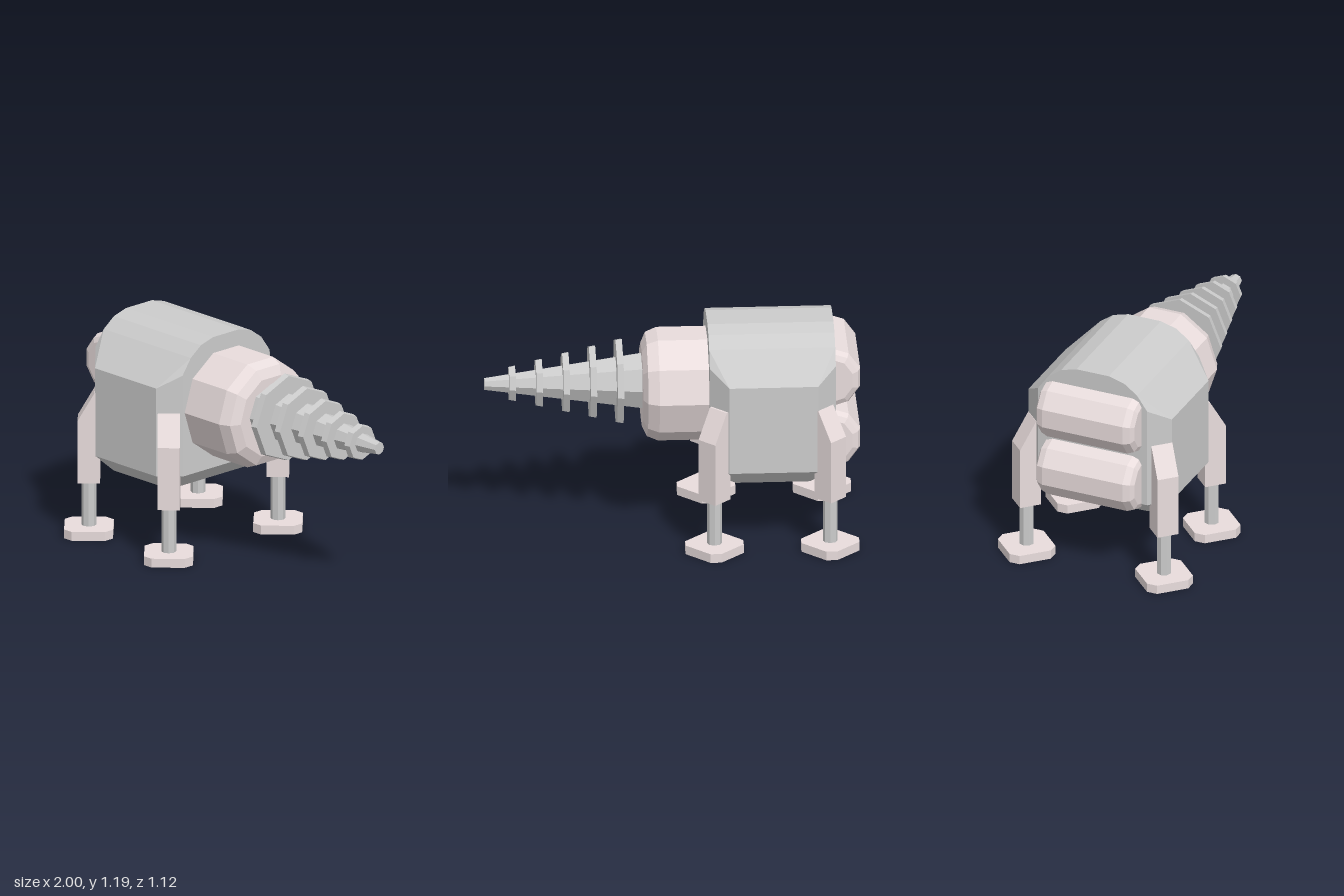
import * as THREE from 'three';
import { ConvexGeometry } from 'three/addons/geometries/ConvexGeometry.js';

const grey = new THREE.MeshStandardMaterial({ color: 0xcccccc, flatShading: true });
const pale = new THREE.MeshStandardMaterial({ color: 0xe8dcdc, flatShading: true });

function add(parent, name, geometry, material, x = 0, y = 0, z = 0) {
  const mesh = new THREE.Mesh(geometry, material);
  mesh.name = name;
  mesh.position.set(x, y, z);
  parent.add(mesh);
  return mesh;
}

// Rectangle with cut corners, as [x, z] pairs
function cutRect(hx, hz, c) {
  return [[hx, hz - c], [hx - c, hz], [c - hx, hz], [-hx, hz - c],
    [-hx, c - hz], [c - hx, -hz], [hx - c, -hz], [hx, c - hz]];
}

function lathe(profile, sides) {
  return new THREE.LatheGeometry(profile.map(([r, h]) => new THREE.Vector2(r, h)), sides);
}

// Hull: chamfered belly, straight walls, faceted barrel roof
function hullGeometry() {
  const points = [];
  const ring = (hx, hz, c, y) =>
    cutRect(hx, hz, c).forEach(([x, z]) => points.push(new THREE.Vector3(x, y, z)));
  ring(0.2375, 0.32, 0.04, 0.36);
  ring(0.3375, 0.42, 0.1, 0.455);
  for (const sx of [-1, 1]) for (const sz of [-1, 1]) {
    points.push(new THREE.Vector3(sx * 0.2375, 0.95, sz * 0.42));
    for (const [z, y] of [[0.32, 1.025], [0.26, 1.11], [0.185, 1.165], [0.095, 1.19]]) {
      points.push(new THREE.Vector3(sx * 0.3375, y, sz * z));
    }
  }
  return new ConvexGeometry(points);
}

// Leg built with its local +x pointing outward
function makeLeg() {
  const leg = new THREE.Group();

  const thigh = new THREE.Shape([[-0.06, 0.3], [0.06, 0.3], [0.06, 0.65], [-0.032, 0.81], [-0.06, 0.81]]
    .map(([u, y]) => new THREE.Vector2(u, y)));
  const thighGeo = new THREE.ExtrudeGeometry(thigh, { depth: 0.12, bevelEnabled: false });
  add(leg, 'upperLeg', thighGeo.translate(0, 0, -0.06), pale);

  add(leg, 'shin', new THREE.CylinderGeometry(0.04, 0.04, 0.27, 8), grey, 0, 0.175, 0);

  const foot = new THREE.Shape(cutRect(0.131, 0.131, 0.042).map(([x, z]) => new THREE.Vector2(x, z)));
  const footGeo = new THREE.ExtrudeGeometry(foot, { depth: 0.05, bevelEnabled: false });
  add(leg, 'foot', footGeo.rotateX(-Math.PI / 2), pale);
  return leg;
}

export function createModel() {
  const model = new THREE.Group();
  model.name = 'drillWalker';

  add(model, 'body', hullGeometry(), grey, -0.5275, 0, 0);

  // Drill housing
  const housing = lathe([[0, -0.25], [0.305, -0.25], [0.305, 0.075], [0.28, 0.135], [0.225, 0.16], [0, 0.16]], 10);
  add(model, 'drillHousing', housing.rotateZ(-Math.PI / 2), pale, 0, 0.81, 0);

  // Drill: tapering core with five cutting rings
  const drill = new THREE.Group();
  drill.name = 'drill';
  drill.position.y = 0.83;
  model.add(drill);
  const core = new THREE.CylinderGeometry(0.034, 0.162, 0.86, 8);
  add(drill, 'drillCore', core.rotateZ(-Math.PI / 2), grey, 0.57, 0, 0);
  for (let i = 0; i < 5; i++) {
    const r = 0.244 - i * 0.0355;
    const ring = new THREE.CylinderGeometry(r - 0.007, r, 0.034, 8);
    add(drill, 'cuttingRing', ring.rotateZ(-Math.PI / 2), grey, 0.28 + i * 0.143, 0, 0);
  }

  // Two tanks lying across the tail
  for (const y of [0.925, 0.575]) {
    const tank = lathe([[0, -0.287], [0.125, -0.287], [0.155, -0.272], [0.17, -0.235],
      [0.17, 0.235], [0.155, 0.272], [0.125, 0.287], [0, 0.287]], 10);
    add(model, 'tailTank', tank.rotateX(Math.PI / 2), pale, -0.838, y, 0);
  }

  // Four legs, each facing diagonally out from a corner
  for (const sx of [-1, 1]) for (const sz of [-1, 1]) {
    const leg = makeLeg();
    leg.name = (sz > 0 ? 'front' : 'back') + (sx > 0 ? 'Left' : 'Right') + 'Leg';
    leg.position.set(-0.52 + sx * 0.31, 0, sz * 0.403);
    leg.rotation.y = Math.atan2(-sz, sx);
    model.add(leg);
  }
  return model;
}
